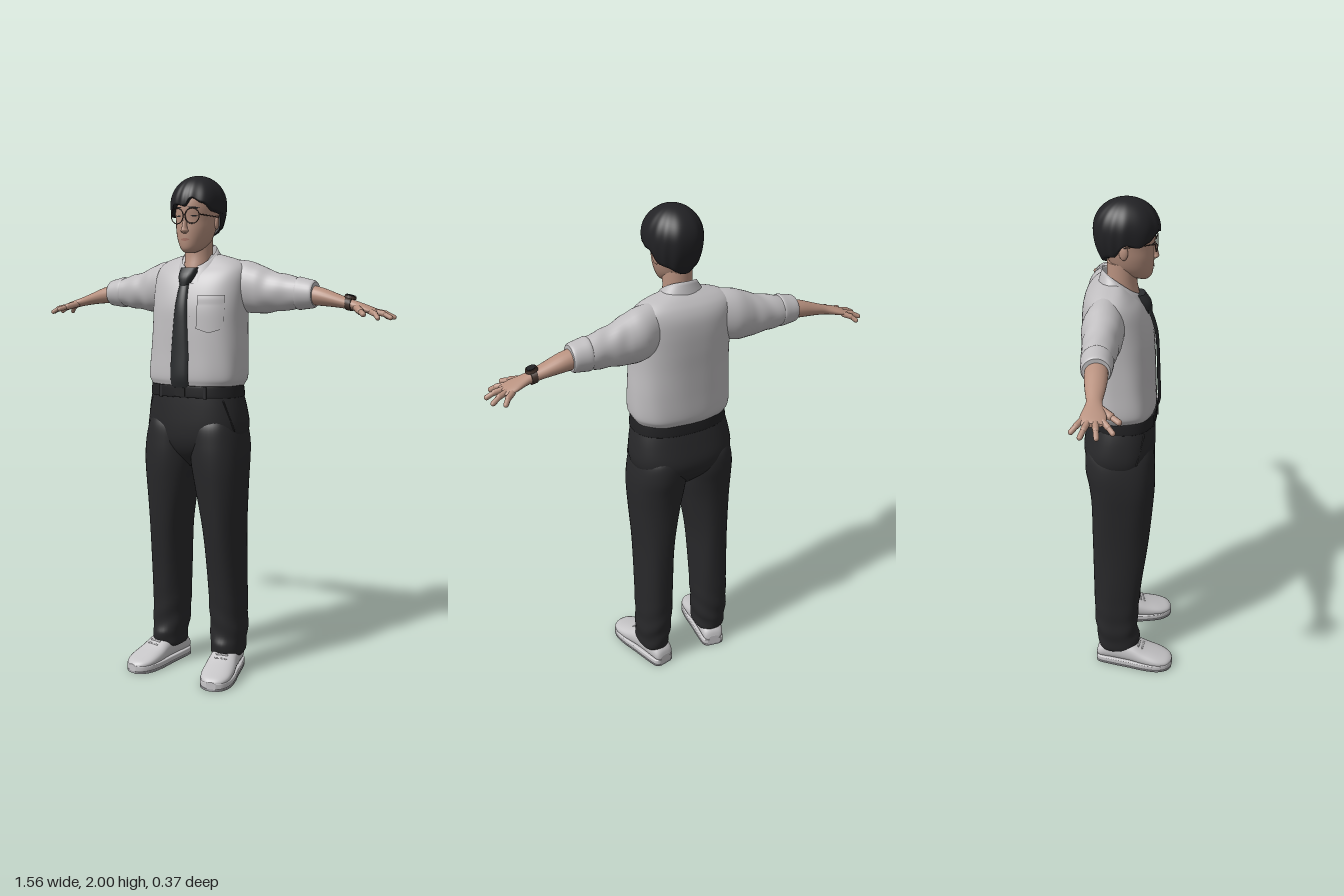
import * as THREE from 'three';
import { mergeGeometries } from 'three/addons/utils/BufferGeometryUtils.js';

const M = {};
for (const [name, color] of Object.entries({
  shirtWhite: 0xbfbdbf, skin: 0xb8917f, trouserBlack: 0x28282a, hairBlack: 0x222225, tieBlack: 0x2a2c2e,
  beltBlack: 0x212123, shoeWhite: 0xc6c5c7, soleGrey: 0xa4a4a7, lipRose: 0xa87668, frameBrown: 0x46362f,
})) {
  M[name] = new THREE.MeshStandardMaterial({ color });
  M[name].name = name;
}
M.shirtWhite.side = M.tieBlack.side = M.hairBlack.side = THREE.DoubleSide;

// Surface from rows of points; wrap joins the last column to the first
function surface(rows, wrap) {
  const n = rows[0].length, cols = wrap ? n : n - 1, idx = [];
  for (let j = 0; j < rows.length - 1; j++) for (let i = 0; i < cols; i++) {
    const a = j * n + i, b = j * n + (i + 1) % n;
    idx.push(a, b, b + n, a, b + n, a + n);
  }
  const g = new THREE.BufferGeometry();
  g.setAttribute('position', new THREE.Float32BufferAttribute(rows.flat(2), 3));
  g.setIndex(idx);
  g.computeVertexNormals();
  return g;
}
const grid = (fn, nu, nv, wrap = false) => surface(Array.from({ length: nv + 1 }, (_, j) =>
  Array.from({ length: wrap ? nu : nu + 1 }, (_, i) => fn(i / nu, j / nv))), wrap);

// Smooth in-between sections; keys are [position, centre, half width, low, high]
function smooth(keys, m) {
  const K = (i) => keys[Math.min(Math.max(i, 0), keys.length - 1)];
  return Array.from({ length: (keys.length - 1) * m + 1 }, (_, s) => {
    const i = Math.floor(s / m), t = s / m - i;
    return K(i).map((b, k) => {
      const a = K(i - 1)[k], c = K(i + 1)[k], d = K(i + 2)[k];
      return b + 0.5 * t * (c - a + t * (2 * a - 5 * b + 4 * c - d + t * (3 * (b - c) + d - a)));
    });
  });
}

// Closed loft of superellipses along an axis
const spow = (v, e) => Math.sign(v) * Math.abs(v) ** e;
function loft(axis, keys, { p = 2, n = 32, m = 4, ripple = () => 1 } = {}) {
  const sections = smooth(keys, m);
  const ring = ([t, c, r, lo, hi], scale) => Array.from({ length: n }, (_, i) => {
    const a = i / n * Math.PI * 2, k = scale * ripple(t, a);
    const A = r * k * spow(Math.sin(a), 2 / p);
    const B = (lo + hi) / 2 + (hi - lo) / 2 * k * spow(Math.cos(a), 2 / p);
    return axis === 'y' ? [c + A, t, B] : axis === 'x' ? [t, B, c + A] : [c - A, B, t];
  });
  const first = sections[0], last = sections.at(-1);
  return surface([ring(first, 0), ring(first, 1), ...sections.map((s) => ring(s, 1)), ring(last, 1), ring(last, 0)], true);
}

// Thin patch lying on the front of an upright loft
function patch(keys, p, fn, off, nu = 10, nv = 6) {
  const S = smooth(keys, 6);
  return grid((u, v) => {
    const [x, y] = fn(u, v);
    const i = Math.max(1, S.findIndex((s) => s[0] >= y));
    const t = (y - S[i - 1][0]) / (S[i][0] - S[i - 1][0]);
    const [, c, r, lo, hi] = S[i - 1].map((q, k) => q + (S[i][k] - q) * t);
    const z = (lo + hi) / 2 + (hi - lo) / 2 * Math.max(0, 1 - Math.abs((x - c) / r) ** p) ** (1 / p);
    return [x, y, z + off(u, v)];
  }, nu, nv);
}
const lens = (cx, cy, w, h, tilt = 0) => (u, v) =>
  [cx + w * (u - 0.5), cy + tilt * (u - 0.5) + h * (v - 0.5) * Math.sin(Math.PI * (0.06 + 0.88 * u))];

// Rounded bar between two points
function bar(a, b, r) {
  const A = new THREE.Vector3(...a), B = new THREE.Vector3(...b), d = B.clone().sub(A);
  const g = new THREE.CapsuleGeometry(r, d.length(), 4, 10);
  g.applyQuaternion(new THREE.Quaternion().setFromUnitVectors(new THREE.Vector3(0, 1, 0), d.normalize()));
  return g.translate(...A.add(B).multiplyScalar(0.5).toArray());
}
function mirror(geo) {
  const g = geo.clone().scale(-1, 1, 1), ix = g.index.array;
  for (let i = 0; i < ix.length; i += 3) [ix[i], ix[i + 1]] = [ix[i + 1], ix[i]];
  return g;
}

const TORSO = [[1.175, -.004, .178, -.145, .09], [1.2, -.004, .194, -.162, .1], [1.23, -.003, .203, -.171, .105],
  [1.32, 0, .2, -.173, .101], [1.42, 0, .195, -.175, .097], [1.5, 0, .195, -.178, .09], [1.57, 0, .197, -.178, .07],
  [1.62, 0, .197, -.172, .045], [1.655, 0, .187, -.157, .015], [1.68, 0, .15, -.135, -.008], [1.7, 0, .08, -.11, -.025]];
const HEAD = [[1.705, .003, .018, .03, .066], [1.72, .003, .04, -.02, .08], [1.75, .003, .06, -.065, .086],
  [1.79, .004, .073, -.085, .088], [1.83, .005, .078, -.1, .088], [1.88, .006, .082, -.11, .093],
  [1.93, .008, .075, -.105, .08], [1.97, .008, .045, -.07, .04]];
const PELVIS = [[.86, -.008, .03, -.06, .02], [.91, -.008, .09, -.12, .07], [.96, -.007, .18, -.165, .094], [1.02, -.006, .21, -.183, .101],
  [1.1, -.005, .204, -.168, .101], [1.17, -.004, .187, -.15, .099]];
const SHOE = [[-.14, 0, .026, .03, .05], [-.125, 0, .044, .02, .085], [-.06, 0, .052, .015, .125], [.01, 0, .057, .015, .116],
  [.07, 0, .063, .015, .086], [.13, 0, .061, .015, .064], [.17, 0, .043, .015, .05], [.187, 0, .016, .02, .038]];

export function createModel() {
  const root = new THREE.Group();
  root.name = 'standingMan';
  const add = (name, geo, mat) => {
    const mesh = new THREE.Mesh(geo, mat);
    mesh.name = name;
    root.add(mesh);
  };
  const pair = (name, geo, mat, shift = 0) => {
    add(name + 'Right', mirror(geo).translate(shift, 0, 0), mat);
    add(name + 'Left', geo.translate(shift, 0, 0), mat);
  };

  // Head, neck and face
  add('head', loft('y', HEAD), M.skin);
  add('neck', loft('y', [[1.58, 0, .055, -.09, .04], [1.64, 0, .056, -.09, .036], [1.7, 0, .055, -.085, .026], [1.77, 0, .055, -.085, .03]]), M.skin);
  add('nose', loft('y', [[1.778, .004, .008, .07, .094], [1.787, .004, .016, .07, .105], [1.8, .004, .011, .07, .103], [1.84, .004, .007, .07, .093]], { n: 14 }), M.skin);
  add('lips', patch(HEAD, 2, lens(.004, 1.755, .038, .011), () => .003), M.lipRose);
  for (const s of [-1, 1]) {
    const side = s > 0 ? 'Left' : 'Right', cx = .008 + s * .033;
    add('eye' + side, patch(HEAD, 2, lens(cx, 1.843, .024, .006), () => .002), M.hairBlack);
    add('eyebrow' + side, patch(HEAD, 2, lens(cx, 1.874, .04, .007, -s * .004), () => .003), M.hairBlack);
    add('ear' + side, new THREE.SphereGeometry(1, 14, 10).scale(.009, .028, .017).rotateY(s * .3).translate(.005 + s * .078, 1.822, -.022), M.skin);
    add('lensRim' + side, new THREE.TorusGeometry(.029, .002, 6, 28).rotateY(s * .15).translate(cx, 1.843, .096), M.frameBrown);
    add('templeArm' + side, bar([.008 + s * .061, 1.848, .091], [.005 + s * .085, 1.842, -.02], .002), M.frameBrown);
  }
  add('glassesBridge', bar([.003, 1.848, .1], [.013, 1.848, .1], .002), M.frameBrown);

  // Hair: domed cap with a parted fringe, fuller on the left, side locks and tapered nape
  const edge = [[0, 1.878], [18, 1.908], [40, 1.89], [65, 1.86], [90, 1.852], [120, 1.8], [180, 1.765],
    [240, 1.8], [270, 1.85], [292, 1.84], [312, 1.855], [338, 1.885], [360, 1.878]];
  const edgeY = (deg) => {
    const i = Math.max(1, edge.findIndex((e) => e[0] >= deg));
    const [a, ya] = edge[i - 1], [b, yb] = edge[i];
    return ya + (yb - ya) * THREE.MathUtils.smoothstep(deg, a, b);
  };
  add('hair', grid((u, v) => {
    const a = (1 - u) * Math.PI * 2, low = edgeY((1 - u) * 360), w = 1 - Math.min(v / .94, 1);
    const y = low + (2 - low) * Math.sin(w * Math.PI / 2), d = y - 1.89;
    let r = d > 0 ? Math.sqrt(Math.max(0, 1 - (d / .11) ** 2)) : 1 - 20 * d * d;
    r *= 1 + .016 * Math.sin(a * 13 + 2 * Math.sin(a * 3) + v * 3) * (1 - w);
    r *= 1 + .06 * Math.exp(-(((a - .95) / .4) ** 2)) * (1 - w);
    if (v > .95) r *= .86;
    return [.009 + .105 * r * Math.sin(a), y, -.013 + .122 * r * Math.cos(a)];
  }, 120, 28, true), M.hairBlack);

  // Shirt body, collar, pocket
  const folds = (t, a) => 1 + .008 * Math.sin(a * 9 + t * 14) * THREE.MathUtils.smoothstep(1.5 - t, 0, .3);
  add('shirtBody', loft('y', TORSO, { p: 2.5, n: 72, m: 6, ripple: folds }), M.shirtWhite);
  add('collar', grid((u, v) => {
    const a = .42 + u * (Math.PI * 2 - .84), f = (1 + Math.cos(a)) / 2, top = 1.742 - .092 * f ** 1.3;
    const out = Math.max(0, v - .5) * 2, drop = v < .5 ? (.5 - v) * .08 : out * (.05 + .016 * f ** 4);
    return [(.068 + .034 * out) * Math.sin(a), top - drop, -.033 + (.07 + .034 * out * (.4 + .6 * f)) * Math.cos(a)];
  }, 48, 8), M.shirtWhite);
  add('chestPocket', patch(TORSO, 2.5, (u, v) => [.06 + .1 * u, 1.4 + .145 * v + (v < .1 ? .016 * Math.abs(2 * u - 1) : 0)],
    (u, v) => v > .85 ? .0095 : .007, 10, 14), M.shirtWhite);
  add('shirtPlacket', patch(TORSO, 2.5, (u, v) => [-.005 + .035 * u, 1.2 + .39 * v], () => .005, 4, 24), M.shirtWhite);

  // Tie
  add('tieBlade', patch(TORSO, 2.5, (u, v) => {
    const w = v < .3 ? .08 : .08 - .04 * (v - .3) / .7;
    return [-.01 + w * (u - .5), 1.188 + .41 * v - (v < .01 ? .008 * (1 - Math.abs(2 * u - 1)) : 0)];
  }, (u) => .005 + .011 * Math.sin(Math.PI * u) ** .5, 10, 24), M.tieBlack);
  add('tieKnot', loft('y', [[1.575, -.01, .017, .03, .083], [1.615, -.007, .033, .02, .08], [1.65, -.004, .037, .015, .056]], { p: 2.6, n: 20 }), M.tieBlack);

  // Sleeves with rolled cuffs
  const creases = (t, a) => 1 + (.022 * Math.sin(t * 75 + 2.5 * Math.sin(a)) + .012 * Math.sin(a * 5 + t * 40))
    * THREE.MathUtils.smoothstep(t, .18, .3);
  pair('sleeve', loft('x', [[.07, -.08, .05, 1.5, 1.668], [.13, -.085, .066, 1.49, 1.68], [.19, -.092, .077, 1.475, 1.676],
    [.24, -.094, .073, 1.472, 1.66], [.29, -.097, .066, 1.478, 1.638], [.36, -.101, .06, 1.486, 1.62], [.43, -.103, .053, 1.497, 1.604]],
  { m: 8, ripple: creases }), M.shirtWhite);
  pair('rolledCuff', loft('x', [[.395, -.103, .052, 1.494, 1.608], [.402, -.103, .058, 1.488, 1.614], [.43, -.103, .056, 1.491, 1.608],
    [.46, -.103, .053, 1.495, 1.601], [.468, -.103, .048, 1.5, 1.595]]), M.shirtWhite);

  // Forearms and hands
  pair('forearm', loft('x', [[.44, -.102, .04, 1.508, 1.586], [.5, -.102, .04, 1.504, 1.572], [.56, -.102, .034, 1.499, 1.55],
    [.61, -.102, .027, 1.492, 1.532], [.64, -.102, .031, 1.487, 1.522], [.68, -.102, .043, 1.479, 1.508], [.708, -.102, .042, 1.474, 1.497], [.72, -.102, .034, 1.476, 1.49]], { n: 24 }), M.skin);
  const fingers = [[.695, -.138, .738, -.17], [.706, -.118, .772, -.14], [.708, -.094, .777, -.088], [.7, -.07, .745, -.038]];
  const parts = fingers.flatMap(([x, z, X, Z]) => {
    const mid = [(x + X) / 2, 1.479, (z + Z) / 2];
    return [bar([x, 1.486, z], mid, .011), bar(mid, [X - .006, 1.465, Z], .0092)];
  });
  parts.push(bar([.64, 1.5, -.083], [.668, 1.488, -.048], .014), bar([.668, 1.488, -.048], [.69, 1.478, -.02], .0105));
  pair('fingers', mergeGeometries(parts), M.skin);

  // Wristwatch on the left wrist
  add('watchStrap', loft('x', [[.597, -.102, .032, 1.49, 1.54], [.618, -.102, .031, 1.486, 1.534]], { n: 24, p: 2.3 }), M.frameBrown);
  add('watchCase', new THREE.CylinderGeometry(.021, .023, .01, 24).rotateZ(-.25).translate(.609, 1.539, -.102), M.frameBrown);
  add('watchDial', new THREE.CylinderGeometry(.017, .017, .003, 24).rotateZ(-.25).translate(.6105, 1.545, -.102), M.beltBlack);

  // Trousers
  add('trouserSeat', loft('y', PELVIS, { p: 2.4, n: 48 }), M.trouserBlack);
  const drape = (t, a) => 1 + .03 * Math.sin(t * 60 + Math.sin(a) * 3) * THREE.MathUtils.smoothstep(.4 - t, 0, .25)
    + .008 * Math.sin(a * 6 + t * 9);
  pair('trouserLeg', loft('y', [[.075, .138, .055, -.12, .025], [.09, .139, .062, -.13, .038], [.13, .14, .066, -.134, .042],
    [.17, .139, .069, -.14, .034], [.25, .136, .071, -.145, .036], [.4, .132, .073, -.148, .05], [.6, .126, .077, -.151, .076],
    [.78, .115, .097, -.152, .093], [.88, .108, .109, -.16, .1], [.96, .104, .109, -.173, .1], [1.03, .1, .098, -.168, .094], [1.08, .098, .075, -.13, .07]],
  { p: 2.3, m: 6, n: 40, ripple: drape }), M.trouserBlack, -.007);
  add('flyFlap', patch(PELVIS, 2.4, (u, v) => [-.008 + .024 * u, 1 + .15 * v], () => .004, 4, 10), M.trouserBlack);
  pair('pocketWelt', bar([.163, 1.135, .057], [.197, 1.02, .028], .003), M.trouserBlack, -.005);

  // Belt, buckle and loops
  add('belt', loft('y', [[1.147, -.003, .193, -.157, .105], [1.152, -.003, .195, -.159, .107], [1.188, -.003, .191, -.157, .107], [1.193, -.003, .188, -.154, .105]], { p: 2.4, n: 48 }), M.beltBlack);
  add('buckle', new THREE.BoxGeometry(.046, .034, .006).translate(-.008, 1.169, .108), M.beltBlack);
  pair('beltLoop', new THREE.BoxGeometry(.012, .05, .006).translate(.1, 1.168, .094), M.trouserBlack, -.003);

  // Shoes turned slightly outward
  const place = (g) => g.rotateY(.19).translate(.15, 0, 0);
  const slab = (lo, hi) => SHOE.map(([z, c, w]) => [z, c, w + .003, lo, hi]);
  pair('shoeUpper', place(loft('z', SHOE, { p: 2.3 })), M.shoeWhite, -.009);
  pair('shoeMidsole', place(loft('z', slab(.008, .034), { p: 7 })), M.shoeWhite, -.009);
  pair('shoeOutsole', place(loft('z', slab(0, .009), { p: 7 })), M.soleGrey, -.009);
  const laces = [0, 1, 2, 3].map((i) => bar([-.022, .11 - i * .011, .028 + i * .016], [.022, .11 - i * .011, .028 + i * .016], .004));
  pair('shoeLaces', place(mergeGeometries(laces)), M.shoeWhite, -.009);
  return root;
}
